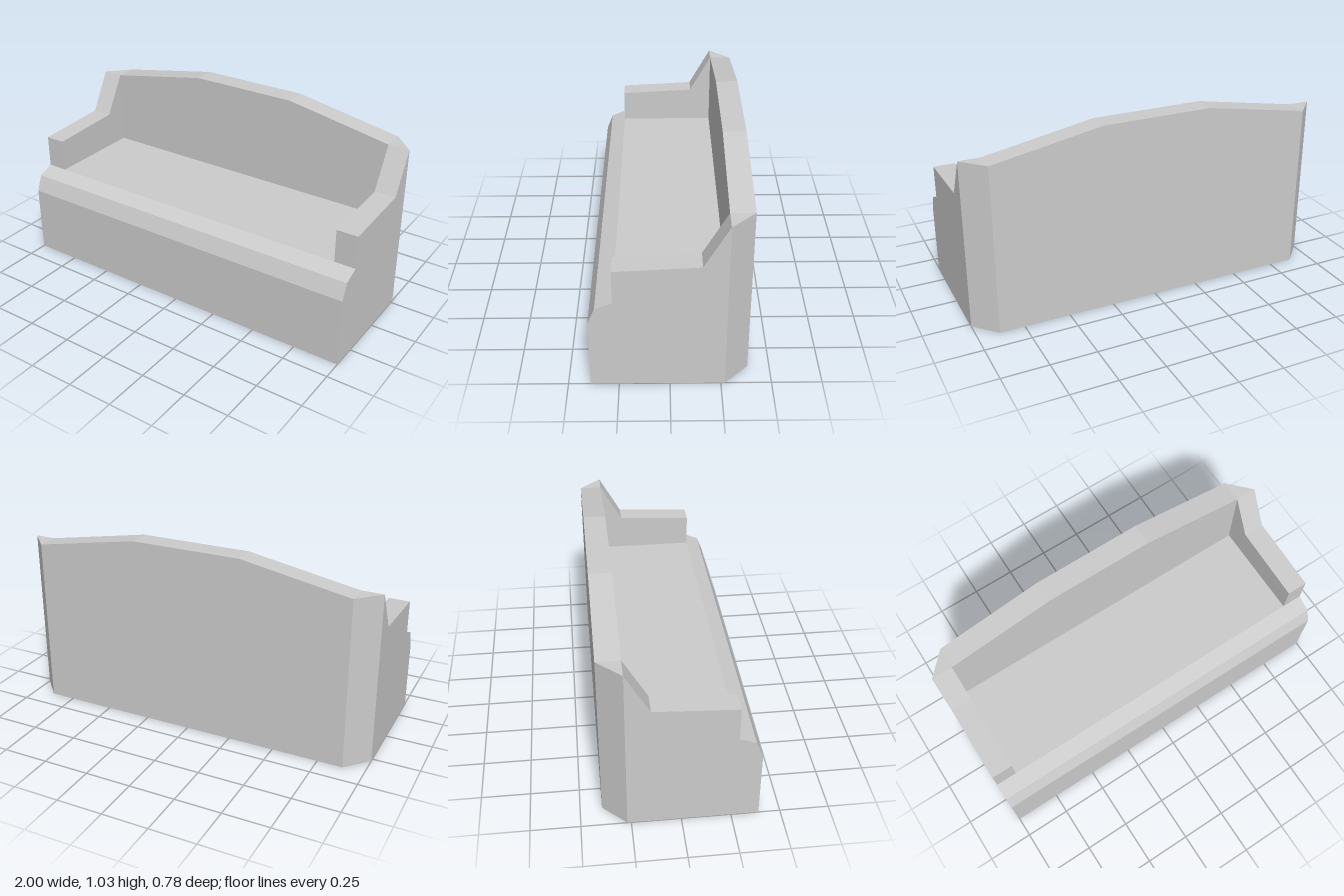
import * as THREE from 'three';

const material = new THREE.MeshStandardMaterial({ color: 0xcccccc, flatShading: true });

function extrude(points, depth) {
  const shape = new THREE.Shape(points.map(([x, y]) => new THREE.Vector2(x, y)));
  return new THREE.ExtrudeGeometry(shape, { depth, bevelEnabled: false });
}

// Side profile given as [z, y], swept across x from x0 to x1
function sweepAcross(points, x0, x1) {
  return extrude(points, x1 - x0).rotateY(-Math.PI / 2).translate(x1, 0, 0);
}

export function createModel() {
  const group = new THREE.Group();
  const add = (name, geometry) => {
    const mesh = new THREE.Mesh(geometry, material);
    mesh.name = name;
    group.add(mesh);
  };

  const inner = 0.885; // inner face of the arms
  const backFront = -0.27;
  const backRear = -0.39;

  // Seat block with a bevelled front edge
  add('seatBase', sweepAcross([
    [0.39, 0], [0.39, 0.38], [0.355, 0.467], [0.27, 0.502], [backFront, 0.502], [backFront, 0],
  ], -1, 1));

  // Backrest with a raised, faceted top
  add('backrest', extrude([
    [-inner, 0], [inner, 0], [inner, 0.922], [0.3, 1.028], [-0.3, 1.028], [-inner, 0.922],
  ], backFront - backRear).translate(0, 0, backRear));

  // Arms sweep up to the backrest
  const armProfile = [
    [0.27, 0.502], [0.27, 0.682], [-0.148, 0.705], [backFront, 0.922], [backFront, 0.502],
  ];
  add('leftArm', sweepAcross(armProfile, inner, 1));
  add('rightArm', sweepAcross(armProfile, -1, -inner));

  // Chamfered rear corners, footprint given as [x, -z]
  for (const [side, name] of [[1, 'leftRearCorner'], [-1, 'rightRearCorner']]) {
    add(name, extrude([
      [side, -backFront], [side * inner, -backRear], [side * inner, -backFront],
    ], 0.922).rotateX(-Math.PI / 2));
  }

  return group;
}
